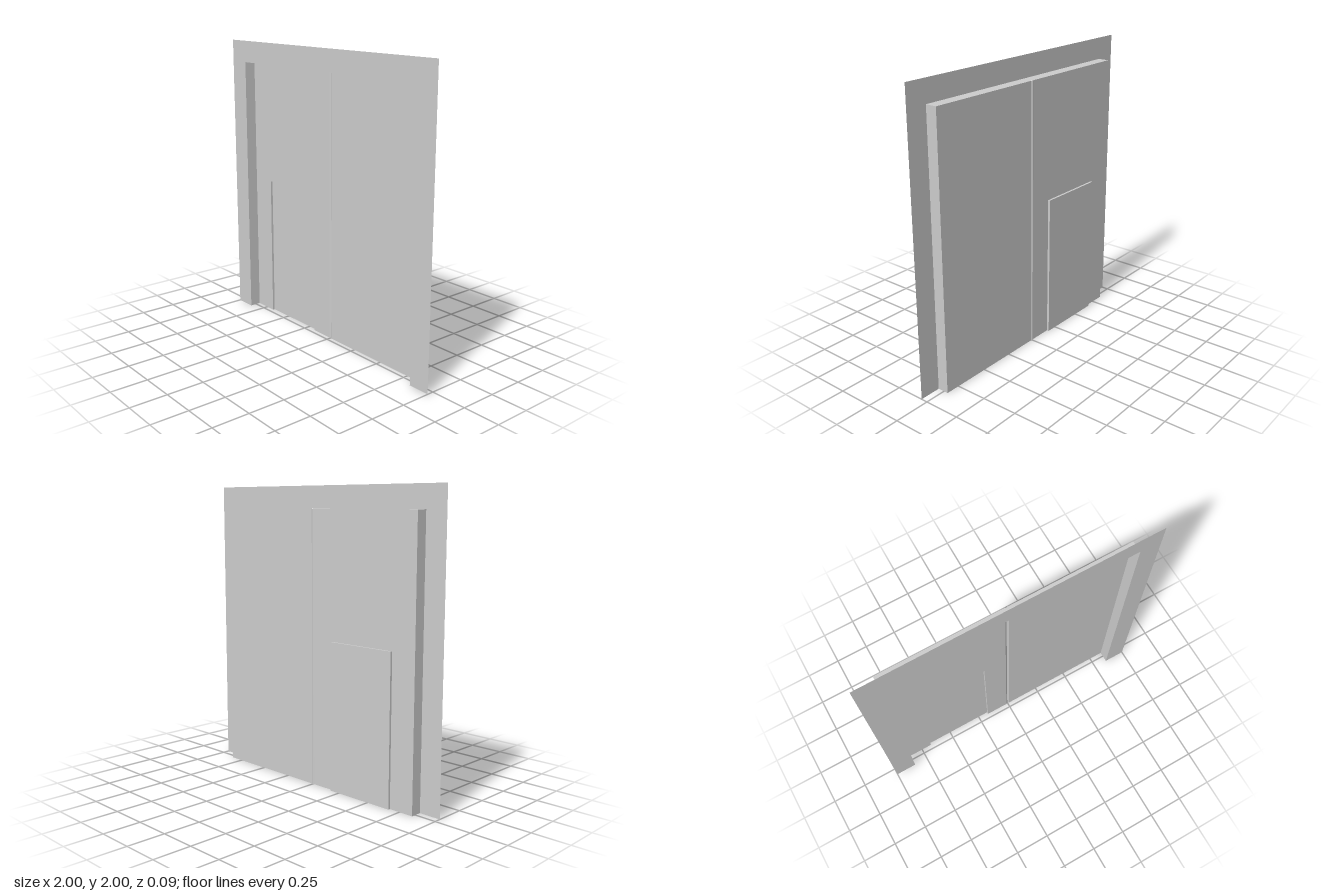
import * as THREE from 'three';

const WALL_Z = 0.046, PANEL_Z = -0.032, DOOR_Z = -0.047, GROOVE_Z = -0.039;
const material = new THREE.MeshStandardMaterial({ color: 0xcccccc, side: THREE.DoubleSide, flatShading: true });

// Flat sheet facing +z from an outline of [x, y] corners
function sheet(name, outline, z) {
  const shape = new THREE.Shape(outline.map(([x, y]) => new THREE.Vector2(x, y)));
  const mesh = new THREE.Mesh(new THREE.ShapeGeometry(shape), material);
  mesh.position.z = z;
  mesh.name = name;
  return mesh;
}

// Ribbon of quads joining two paths of [x, y, z] points
function ribbon(name, a, b) {
  const index = [];
  for (let i = 0; i < a.length - 1; i++) {
    const n = a.length + i;
    index.push(i, n, i + 1, i + 1, n, n + 1);
  }
  const geometry = new THREE.BufferGeometry();
  geometry.setAttribute('position', new THREE.Float32BufferAttribute([...a, ...b].flat(), 3));
  geometry.setIndex(index);
  const flat = geometry.toNonIndexed();
  flat.computeVertexNormals();
  const mesh = new THREE.Mesh(flat, material);
  mesh.name = name;
  return mesh;
}

// Side and top faces of a recess that is open at the floor
function reveal(name, x0, x1, top, front, back) {
  const path = z => [[x0, 0, z], [x0, top, z], [x1, top, z], [x1, 0, z]];
  return ribbon(name, path(front), path(back));
}

export function createModel() {
  const group = new THREE.Group();
  group.name = 'gateWall';
  const W = 0.85, H = 1.85, G = 0.012;
  const D0 = -0.675, D1 = -0.175, DH = 1.0;

  // Wall surround with the gate opening cut out
  group.add(sheet('wall', [[-1, 0], [-W, 0], [-W, H], [W, H], [W, 0], [1, 0], [1, 2], [-1, 2]], WALL_Z));
  group.add(reveal('gateReveal', -W, W, H, WALL_Z, PANEL_Z));

  // Two gate leaves, one with an opening for the small door
  group.add(sheet('rightLeaf', [[-W, 0], [D0, 0], [D0, DH], [D1, DH], [D1, 0], [-G, 0], [-G, H], [-W, H]], PANEL_Z));
  group.add(sheet('leftLeaf', [[G, 0], [W, 0], [W, H], [G, H]], PANEL_Z));

  // V-shaped groove between the leaves
  const groove = y => [[-G, y, PANEL_Z], [0, y, GROOVE_Z], [G, y, PANEL_Z]];
  group.add(ribbon('centreGroove', groove(H), groove(0)));

  // Recessed small door
  group.add(reveal('doorReveal', D0, D1, DH, PANEL_Z, DOOR_Z));
  group.add(sheet('smallDoor', [[D0, 0], [D1, 0], [D1, DH], [D0, DH]], DOOR_Z));
  return group;
}
